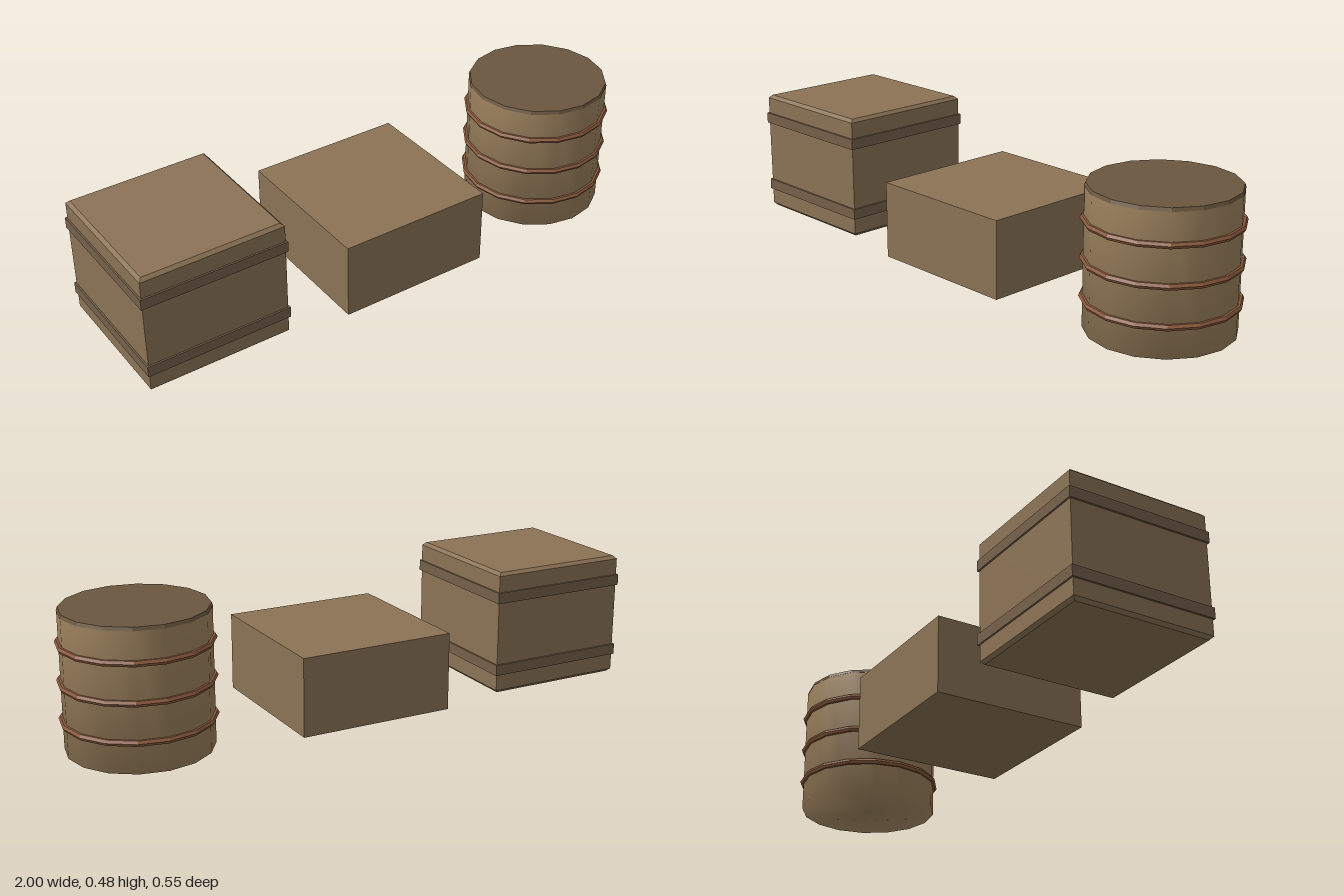
import * as THREE from 'three';

const material = (color, flatShading = false) =>
  new THREE.MeshStandardMaterial({ color, flatShading, roughness: 0.9 });

function addMesh(parent, name, geometry, mat, x = 0, y = 0, z = 0) {
  const mesh = new THREE.Mesh(geometry, mat);
  mesh.name = name;
  mesh.position.set(x, y, z);
  parent.add(mesh);
  return mesh;
}

// Box with every edge chamfered, centred on the origin
function chamferedBox(width, height, depth, c) {
  const w = width / 2 - c, d = depth / 2 - c;
  const shape = new THREE.Shape([[-w, -d], [w, -d], [w, d], [-w, d]].map(p => new THREE.Vector2(...p)));
  const geometry = new THREE.ExtrudeGeometry(shape, {
    depth: height - 2 * c, bevelEnabled: true, bevelSegments: 1, bevelSize: c, bevelThickness: c,
  });
  return geometry.translate(0, 0, c - height / 2).rotateX(-Math.PI / 2);
}

// Chamfered crate wrapped by two bands
function createCrate() {
  const crate = new THREE.Group();
  crate.name = 'crate';
  addMesh(crate, 'crateBody', chamferedBox(0.504, 0.436, 0.504, 0.011), material(0x8b7355, true), 0, 0.262, 0);
  const bandMaterial = material(0x75604a, true);
  for (const y of [0.131, 0.392]) {
    addMesh(crate, 'crateBand', new THREE.BoxGeometry(0.516, 0.038, 0.516), bandMaterial, 0, y, 0);
  }
  return crate;
}

// Sixteen-sided barrel with a closed base, a lid and three hoops
function createBarrel() {
  const sides = 16, radius = 0.247;
  const barrel = new THREE.Group();
  barrel.name = 'barrel';

  const profile = [[0, 0], [radius, 0], [radius, 0.47]].map(p => new THREE.Vector2(...p));
  addMesh(barrel, 'barrelBody', new THREE.LatheGeometry(profile, sides), material(0xa08560));

  addMesh(barrel, 'barrelLid', new THREE.CylinderGeometry(0.244, 0.248, 0.012, sides),
    material(0x6b573f, true), 0, 0.474, 0);

  const hoop = new THREE.TorusGeometry(0.249, 0.011, 6, sides).rotateX(Math.PI / 2);
  const hoopMaterial = material(0x8b5a3c, true);
  for (const y of [0.105, 0.235, 0.365]) addMesh(barrel, 'barrelHoop', hoop, hoopMaterial, 0, y, 0);
  return barrel;
}

export function createModel() {
  const model = new THREE.Group();
  model.name = 'containers';

  const crate = createCrate();
  crate.position.x = -0.742;
  model.add(crate);

  // Plain low box in the middle
  addMesh(model, 'box', new THREE.BoxGeometry(0.554, 0.272, 0.554), material(0x8b7355, true), 0.003, 0.17, 0);

  const barrel = createBarrel();
  barrel.position.x = 0.739;
  model.add(barrel);
  return model;
}
